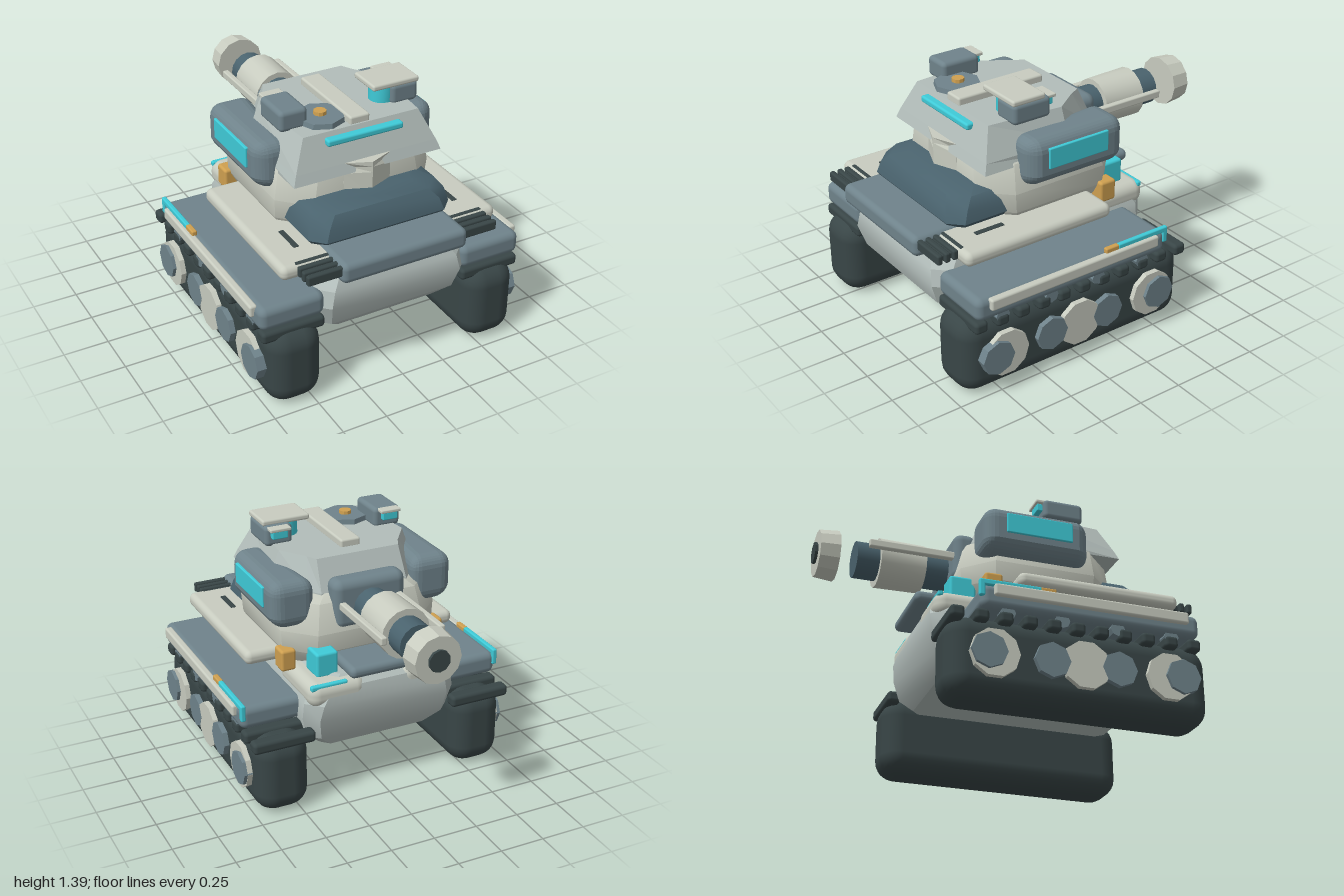
import * as THREE from 'three';
import { toCreasedNormals } from 'three/addons/utils/BufferGeometryUtils.js';
import { RoundedBoxGeometry } from 'three/addons/geometries/RoundedBoxGeometry.js';

const mat = (c) => new THREE.MeshStandardMaterial({ color: c });

export function createModel() {
  const model = new THREE.Group();
  const M = {
    pale: mat(0xc8ccc0), armor: mat(0xb2bdba), grey: mat(0x6f838b), blue: mat(0x4a636e),
    dark: mat(0x394647), cyan: mat(0x3fcbd8), orange: mat(0xcfa050),
  };
  const add = (name, geo, m) => {
    const mesh = new THREE.Mesh(geo, M[m]);
    mesh.name = name;
    model.add(mesh);
    return mesh;
  };

  // Rounded box given by its extents; pair() adds it on both sides
  const box = (name, m, x0, x1, y0, y1, z0, z1, r = 0.01) => {
    const w = x1 - x0, h = y1 - y0, d = z1 - z0;
    const g = new RoundedBoxGeometry(w, h, d, 3, Math.min(r, w * 0.48, h * 0.48, d * 0.48));
    g.translate((x0 + x1) / 2, (y0 + y1) / 2, (z0 + z1) / 2);
    return add(name, g, m);
  };
  const pair = (name, m, x0, x1, ...rest) => {
    box(name + 'Left', m, x0, x1, ...rest);
    box(name + 'Right', m, -x1, -x0, ...rest);
  };

  // Cylinder along an axis
  const cyl = (name, m, axis, r0, r1, len, sides, x, y, z) => {
    const g = new THREE.CylinderGeometry(r1, r0, len, sides).toNonIndexed();
    if (axis === 'x') g.rotateZ(Math.PI / 2);
    if (axis === 'z') g.rotateX(-Math.PI / 2);
    g.translate(x, y, z);
    return add(name, toCreasedNormals(g, sides > 12 ? 0.6 : 0.2), m);
  };

  // Rectangle with cut corners, running from +x towards +z
  const ring = (hx, z0, z1, c) => [
    [hx, z0 + c], [hx, z1 - c], [hx - c, z1], [c - hx, z1],
    [-hx, z1 - c], [-hx, z0 + c], [c - hx, z0], [hx - c, z0]];

  // Closed skin through horizontal rings [y, points]
  const loft = (name, m, rings, crease) => {
    const p = [];
    const tri = (...v) => v.forEach((q) => p.push(...q));
    const at = ([y, pts], i) => { const q = pts[i % pts.length]; return [q[0], y, q[1]]; };
    const n = rings[0][1].length;
    const top = rings[rings.length - 1];
    for (let i = 0; i < n; i++) {
      for (let k = 0; k + 1 < rings.length; k++) {
        const a = at(rings[k], i), b = at(rings[k], i + 1);
        const c = at(rings[k + 1], i), d = at(rings[k + 1], i + 1);
        tri(a, c, d, a, d, b);
      }
      if (i > 0 && i < n - 1) {
        tri(at(top, 0), at(top, i + 1), at(top, i));
        tri(at(rings[0], 0), at(rings[0], i), at(rings[0], i + 1));
      }
    }
    const g = new THREE.BufferGeometry();
    g.setAttribute('position', new THREE.Float32BufferAttribute(p, 3));
    g.computeVertexNormals();
    return add(name, crease ? toCreasedNormals(g, crease) : g, m);
  };

  // Hull
  loft('hull', 'armor', [
    [0.29, ring(0.32, -0.34, 0.8, 0.04)],
    [0.37, ring(0.42, -0.4, 0.88, 0.06)],
    [0.49, ring(0.45, -0.43, 0.92, 0.07)],
    [0.58, ring(0.44, -0.44, 0.91, 0.08)],
    [0.66, ring(0.4, -0.42, 0.86, 0.1)],
    [0.71, ring(0.33, -0.36, 0.78, 0.1)],
  ], 0.45);
  pair('rearHullLobe', 'pale', 0.1, 0.43, 0.56, 0.7, -0.43, 0, 0.06);
  pair('sideDeck', 'pale', 0.22, 0.63, 0.69, 0.77, -0.04, 0.86, 0.035);
  pair('deckSlot', 'dark', 0.455, 0.485, 0.76, 0.775, 0.54, 0.71, 0.004);

  // Running gear and fenders
  pair('track', 'dark', 0.434, 0.736, 0, 0.44, -0.455, 0.96, 0.11);
  for (let i = 0; i <= 10; i++) {
    const z = -0.41 + i * 0.128;
    pair('trackPad', 'dark', 0.41, 0.762, 0.39, 0.455, z - 0.04, z + 0.035, 0.02);
  }
  for (const s of [1, -1]) {
    for (const z of [0.72, 0.26, -0.22])
      cyl('roadWheel', 'pale', 'x', 0.13, 0.13, 0.06, 10, s * 0.735, 0.223, z);
    for (const z of [0.785, 0.44, 0.08, -0.255])
      cyl('wheelHub', 'grey', 'x', 0.095, 0.095, 0.06, 8, s * (z > 0.6 || z < 0 ? 0.754 : 0.736), 0.225, z);
    for (const z of [0.74, 0.44, 0.14, -0.15])
      cyl('returnRoller', 'grey', 'x', 0.04, 0.04, 0.06, 8, s * 0.725, 0.45, z);
  }
  pair('fender', 'grey', 0.405, 0.77, 0.46, 0.59, -0.295, 0.9, 0.04);
  pair('fenderRail', 'pale', 0.75, 0.793, 0.522, 0.587, -0.23, 0.83, 0.012);
  pair('fenderLight', 'cyan', 0.745, 0.772, 0.58, 0.612, -0.3, 0.025, 0.008);
  pair('fenderLightDrop', 'cyan', 0.745, 0.772, 0.52, 0.612, -0.305, -0.275, 0.008);
  pair('fenderMarker', 'orange', 0.742, 0.772, 0.58, 0.612, 0.02, 0.105, 0.008);

  // Nose plate with side grilles
  box('nosePlate', 'grey', -0.365, 0.365, 0.67, 0.785, 0.7, 1, 0.035);
  pair('grilleBase', 'dark', 0.32, 0.53, 0.725, 0.755, 0.81, 0.98, 0.006);
  for (let i = 0; i < 4; i++)
    pair('grilleFin', 'dark', 0.33, 0.55, 0.715, 0.77, 0.815 + i * 0.045, 0.845 + i * 0.045, 0.01);

  // Rear deck fittings
  box('rearStowage', 'grey', -0.22, 0.22, 0.72, 0.785, -0.48, -0.12, 0.03);
  pair('rearLamp', 'cyan', 0.225, 0.35, 0.69, 0.83, -0.33, -0.185, 0.015);
  pair('rearMarker', 'orange', 0.4, 0.485, 0.69, 0.81, -0.18, -0.08, 0.015);
  pair('rearLightBar', 'cyan', 0.21, 0.42, 0.665, 0.695, -0.415, -0.385, 0.01);

  // Turret body, with a wedge showing through the front of the cap
  loft('turretBody', 'pale', [
    [0.7, ring(0.4, -0.2, 0.54, 0.14)],
    [0.79, ring(0.45, -0.25, 0.58, 0.14)],
    [0.9, ring(0.457, -0.26, 0.6, 0.15)],
    [1.06, ring(0.43, -0.22, 0.59, 0.15)],
    [1.12, ring(0.36, -0.16, 0.55, 0.15)],
  ], 0.8);
  const wedge = (w) => [[w, 0.4], [w, 0.595], [0, 0.65], [-w, 0.595], [-w, 0.4]];
  loft('frontWedge', 'pale',
    [[0.9, wedge(0.14)], [1.04, wedge(0.135)], [1.07, wedge(0.1)], [1.1, wedge(0.135)]]);

  // Faceted turret cap
  const cap = (xf, zf, xm, zm, xb, zb, cut) => [
    [xb + cut, zb + 0.06], [xm, zm], [xf, zf], [-xf, zf], [-xm, zm], [-xb - cut, zb + 0.06], [-xb, zb], [xb, zb]];
  loft('turretCap', 'armor', [
    [1.045, cap(0.43, 0.615, 0.43, 0.1, 0.25, -0.19, 0.05)],
    [1.1, cap(0.41, 0.595, 0.43, 0.1, 0.25, -0.18, 0.05)],
    [1.265, cap(0.335, 0.53, 0.37, 0.1, 0.24, -0.1, 0.03)],
  ]);
  box('visorLight', 'cyan', -0.22, 0.22, 1.203, 1.24, 0.53, 0.582, 0.012);

  // Swollen front mask
  loft('frontMask', 'blue', [
    [0.76, ring(0.38, 0.33, 0.77, 0.06)],
    [0.8, ring(0.415, 0.31, 0.8, 0.07)],
    [0.87, ring(0.4, 0.32, 0.785, 0.08)],
    [0.92, ring(0.365, 0.36, 0.75, 0.09)],
    [0.95, ring(0.29, 0.43, 0.67, 0.08)],
  ], 0.6);

  // Cheek pods, narrower towards the front and below
  for (const s of [1, -1]) {
    const g = new RoundedBoxGeometry(0.2, 0.265, 0.6, 3, 0.07);
    const p = g.attributes.position;
    for (let i = 0; i < p.count; i++) {
      const x = p.getX(i), y = p.getY(i), z = p.getZ(i);
      const inward = s * x < 0 ? Math.max(0, -z) * 0.2 : -Math.max(0, z - 0.22) * -0.3;
      p.setX(i, x - s * (inward + Math.max(0, -y - 0.06) * 0.35));
    }
    g.translate(s * 0.435, 1.062, 0.11);
    g.computeVertexNormals();
    add('cheekPod', g, 'grey');
  }
  pair('cheekPanel', 'cyan', 0.5, 0.543, 1.035, 1.15, -0.075, 0.3, 0.006);

  // Roof fittings
  box('roofStrip', 'pale', -0.06, 0.055, 1.255, 1.305, -0.01, 0.52, 0.012);
  cyl('hatch', 'grey', 'y', 0.13, 0.125, 0.04, 8, -0.16, 1.273, 0.39);
  cyl('hatchButton', 'orange', 'y', 0.036, 0.034, 0.03, 10, -0.16, 1.297, 0.385);
  pair('sightBox', 'grey', 0.245, 0.405, 1.25, 1.365, 0.19, 0.42, 0.025);
  pair('sightLens', 'cyan', 0.285, 0.375, 1.3, 1.345, 0.16, 0.2, 0.006);
  pair('sightHood', 'pale', 0.27, 0.39, 1.343, 1.362, 0.15, 0.21, 0.006);
  cyl('sightDrum', 'cyan', 'y', 0.07, 0.07, 0.11, 16, 0.235, 1.31, 0.33);
  box('sightRoof', 'pale', 0.13, 0.405, 1.357, 1.39, 0.225, 0.425, 0.012);

  // Gun, with a muzzle ring set ahead of the barrel
  box('mantlet', 'grey', -0.21, 0.21, 0.9, 1.18, -0.262, -0.13, 0.05);
  cyl('barrel', 'blue', 'z', 0.102, 0.102, 0.6, 16, 0, 1.02, -0.475);
  cyl('barrelSleeve', 'pale', 'z', 0.133, 0.138, 0.255, 16, 0, 1.02, -0.522);
  cyl('muzzleRing', 'pale', 'z', 0.14, 0.13, 0.108, 12, 0, 1.022, -0.93);
  cyl('muzzleBore', 'dark', 'z', 0.06, 0.06, 0.04, 10, 0, 1.022, -0.98);
  pair('gunRail', 'pale', 0.147, 0.182, 1.022, 1.066, -0.73, -0.2, 0.008);

  return model;
}
